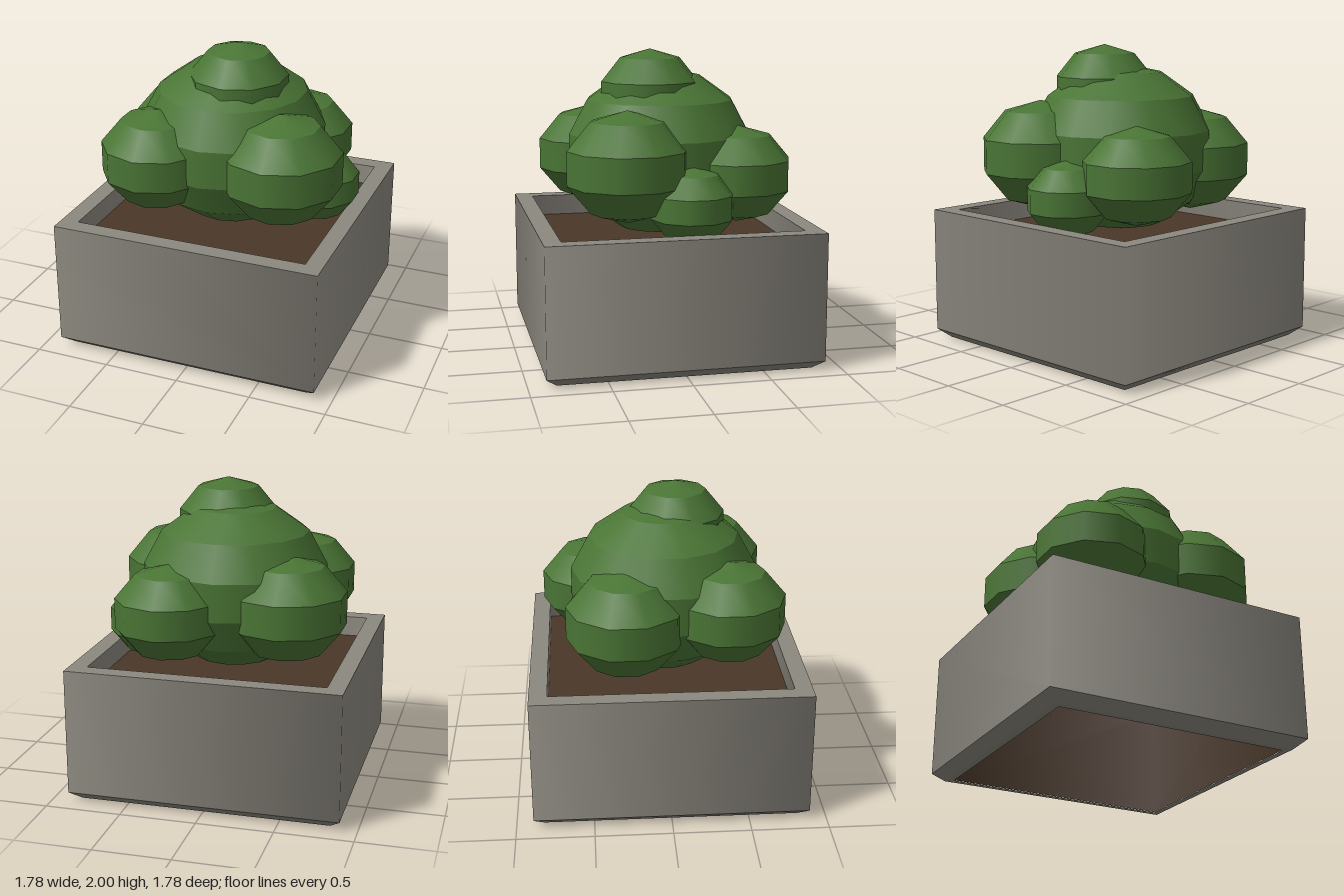
import * as THREE from 'three';
import { mergeGeometries } from 'three/addons/utils/BufferGeometryUtils.js';

// Revolved profile, smooth around the axis but with a crease between bands
function bandedLathe(points, sides, phiStart = 0) {
  const bands = [];
  for (let i = 0; i < points.length - 1; i++) {
    const pair = [points[i], points[i + 1]].map(([r, y]) => new THREE.Vector2(r, y));
    bands.push(new THREE.LatheGeometry(pair, sides, phiStart));
  }
  return mergeGeometries(bands);
}

// Four-sided lathe given by half-widths
function squareLathe(points) {
  return bandedLathe(points.map(([h, y]) => [h * Math.SQRT2, y]), 4, Math.PI / 4);
}

// Slightly flattened low-poly ball
function leafBall(radius, halfHeight, sides, rows) {
  const profile = [];
  for (let i = 0; i <= rows; i++) {
    const a = Math.PI * i / rows;
    const end = i === 0 || i === rows;
    profile.push([end ? 0 : radius * Math.sin(a), -halfHeight * Math.cos(a)]);
  }
  return bandedLathe(profile, sides);
}

export function createModel() {
  const model = new THREE.Group();
  const material = (name, color, side = THREE.FrontSide) => {
    const m = new THREE.MeshStandardMaterial({ color, side });
    m.name = name;
    return m;
  };
  const stone = material('stone grey', 0x8c887f);
  const earth = material('earth brown', 0x4a3728, THREE.DoubleSide);
  const leaf = material('leaf green', 0x4a7535);

  const add = (name, geometry, mat, parent = model) => {
    const mesh = new THREE.Mesh(geometry, mat);
    mesh.name = name;
    parent.add(mesh);
    return mesh;
  };

  // Square planter: underside, bevel, outer wall, rim and upper inner wall
  add('planter', squareLathe([
    [0.775, 0], [0.82, 0], [0.89, 0.06], [0.89, 0.89], [0.775, 0.89], [0.775, 0.75],
  ]), stone);

  // Soil block, open underneath
  add('soil', squareLathe([[0.775, 0.002], [0.775, 0.75], [0, 0.75]]), earth);

  // Shrub: large centre ball, crown and surrounding clumps
  const shrub = new THREE.Group();
  shrub.name = 'shrub';
  model.add(shrub);
  const clumps = [
    // name, x, y, z, radius, half height, sides, rows
    ['mainFoliage', 0, 1.315, 0, 0.625, 0.56, 14, 7],
    ['crownFoliage', 0.07, 1.695, 0.08, 0.34, 0.305, 10, 5],
    ['frontLeftFoliage', 0.447, 1.28, 0.30, 0.41, 0.36, 10, 5],
    ['frontRightFoliage', -0.373, 1.265, 0.40, 0.38, 0.33, 10, 5],
    ['backRightFoliage', -0.415, 1.225, -0.265, 0.405, 0.35, 10, 5],
    ['backLeftFoliage', 0.324, 1.195, -0.45, 0.37, 0.318, 10, 5],
    ['sideFoliage', 0.576, 1.04, -0.09, 0.28, 0.25, 10, 5],
  ];
  for (const [name, x, y, z, radius, halfHeight, sides, rows] of clumps) {
    add(name, leafBall(radius, halfHeight, sides, rows), leaf, shrub).position.set(x, y, z);
  }
  return model;
}
